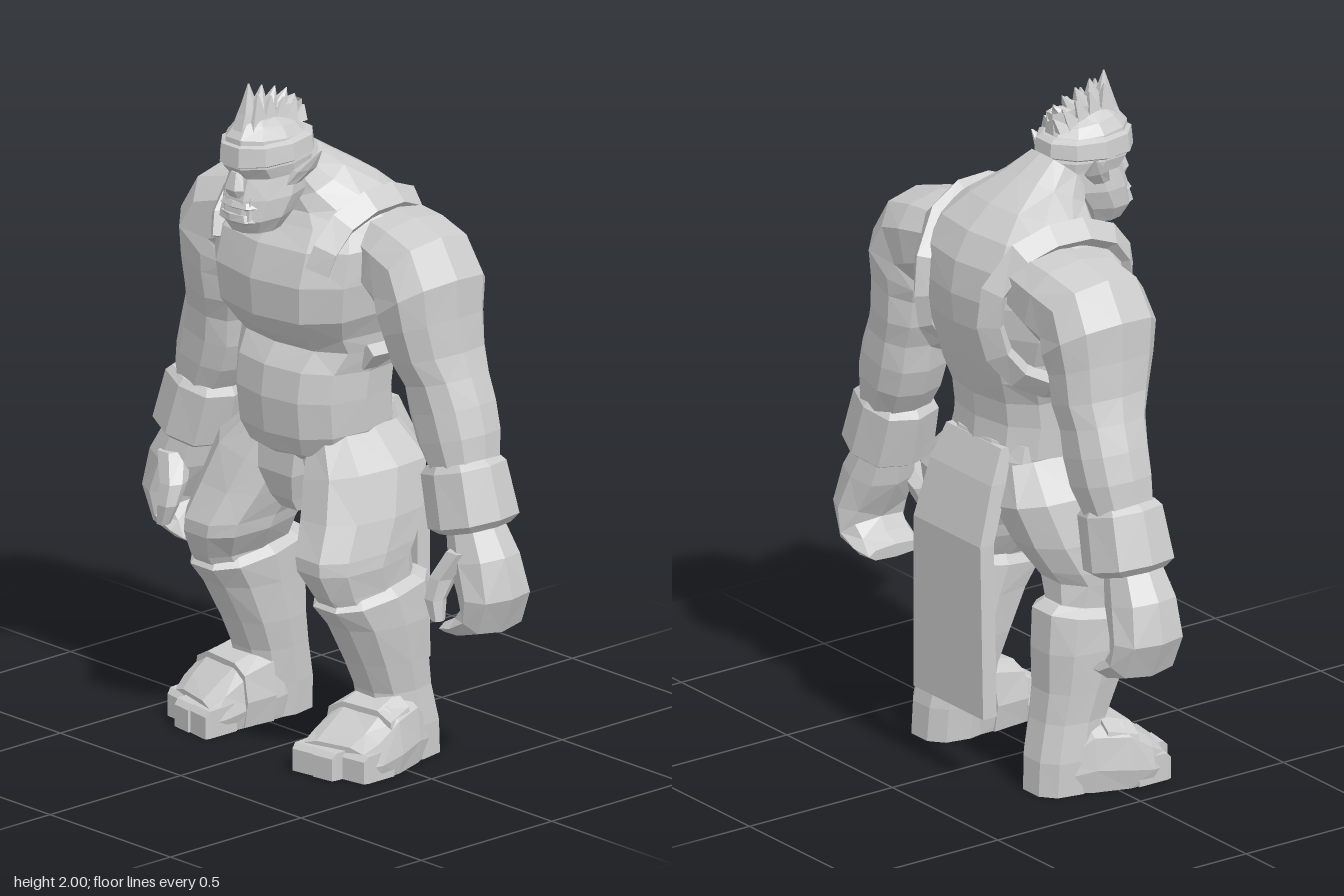
import * as THREE from 'three';

const V = (x, y, z) => new THREE.Vector3(x, y, z);
const stone = new THREE.MeshStandardMaterial({ color: 0xcccccc, flatShading: true });
stone.name = 'light grey';

// Skin a list of equal rings, cap both ends and keep faces outward
function skin(name, rings) {
  const n = rings[0].length, faces = [];
  const tri = (a, b, c) => faces.push([a, b, c]);
  for (let i = 0; i < rings.length - 1; i++) {
    for (let j = 0; j < n; j++) {
      const k = (j + 1) % n, a = rings[i], b = rings[i + 1];
      if ((i + j) % 2) { tri(a[j], b[j], b[k]); tri(a[j], b[k], a[k]); }
      else { tri(a[j], b[j], a[k]); tri(b[j], b[k], a[k]); }
    }
  }
  const first = rings[0], last = rings[rings.length - 1];
  for (let j = 1; j < n - 1; j++) {
    tri(first[0], first[j], first[j + 1]);
    tri(last[0], last[j + 1], last[j]);
  }
  let volume = 0;
  const o = first[0];
  faces.forEach(([a, b, c]) => {
    volume += a.clone().sub(o).dot(b.clone().sub(o).cross(c.clone().sub(o)));
  });
  const pts = faces.flatMap(([a, b, c]) => (volume < 0 ? [a, c, b] : [a, b, c]));
  const geo = new THREE.BufferGeometry().setFromPoints(pts);
  geo.computeVertexNormals();
  const mesh = new THREE.Mesh(geo, stone);
  mesh.name = name;
  return mesh;
}

// Section: [x, y, z, half width, half depth, roll, pitch, yaw]; n = 4 gives a box
function loft(name, sections, { n = 10, p = 0.8, side = 1 } = {}) {
  const box = n === 4, q = box ? 1 : p, k = box ? Math.SQRT2 : 1;
  const pow = (v) => (Math.abs(v) < 1e-6 ? 0 : Math.sign(v) * Math.abs(v) ** q);
  return skin(name, sections.map(([x, y, z, rx, rz, roll = 0, pitch = 0, yaw = 0]) => {
    const turn = new THREE.Euler(pitch, yaw, roll, 'ZYX'), ring = [];
    for (let j = 0; j < n; j++) {
      const t = (j / n) * Math.PI * 2 + (box ? Math.PI / 4 : 0);
      const v = V(rx * k * pow(Math.cos(t)), 0, rz * k * pow(Math.sin(t)));
      v.applyEuler(turn).add(V(x, y, z));
      ring.push(V(v.x * side, Math.max(0, v.y), v.z));
    }
    return ring;
  }));
}

// Body section: [half width, front z, front y, back z, back y]
const body = (rows) => rows.map(([w, zf, yf, zb, yb]) =>
  [0, (yf + yb) / 2, (zf + zb) / 2, w, Math.hypot(zf - zb, yf - yb) / 2, 0, Math.atan2(yb - yf, zf - zb)]);

// Flat band following points around the chest
function band(name, points, width, thick, side) {
  const curve = new THREE.CatmullRomCurve3(points.map(([x, y, z]) => V(x * side, y, z)));
  const rings = [];
  for (let i = 0; i <= 12; i++) {
    const c = curve.getPoint(i / 12), t = curve.getTangent(i / 12);
    const out = c.clone().sub(V(0, 1.4, -0.05));
    out.addScaledVector(t, -out.dot(t)).normalize();
    const w = t.clone().cross(out);
    rings.push([[1, 1], [-1, 1], [-1, -1], [1, -1]].map(([a, b]) =>
      c.clone().addScaledVector(w, a * width / 2).addScaledVector(out, b * thick / 2)));
  }
  return skin(name, rings);
}

function createArm(side) {
  const arm = new THREE.Group();
  arm.name = side > 0 ? 'leftArm' : 'rightArm';
  arm.add(loft('armMuscle', [
    [.20, 1.51, -.10, .11, .15, 1.45], [.30, 1.485, -.09, .13, .165, 1.3],
    [.375, 1.46, -.08, .145, .165, 1.0], [.41, 1.395, -.08, .135, .175, .6],
    [.42, 1.32, -.08, .112, .16, .35], [.43, 1.23, -.09, .108, .145, .25],
    [.455, 1.16, -.10, .105, .125, .25], [.475, 1.08, -.105, .115, .12, .25],
    [.50, 1.0, -.105, .112, .115, .25], [.53, .92, -.10, .09, .10, .25]], { side }));
  arm.add(loft('bracer', [
    [.525, .935, -.095, .095, .10, .26], [.53, .915, -.095, .115, .115, .26],
    [.572, .765, -.095, .118, .127, .26], [.578, .745, -.095, .09, .10, .26]], { side, n: 8 }));
  arm.add(loft('hand', [
    [.58, .77, -.09, .07, .08, .25], [.62, .67, -.09, .09, .10, .2],
    [.655, .57, -.095, .078, .112, 0], [.64, .50, -.10, .06, .11, -.7],
    [.58, .468, -.10, .034, .105, -1.35], [.53, .455, -.095, .02, .095, -1.5]], { side, n: 8 }));
  arm.add(loft('thumb', [
    [.60, .70, -.03, .04, .05], [.56, .62, .01, .036, .04],
    [.555, .56, .035, .03, .03], [.57, .50, .04, .018, .02]], { side, n: 6 }));
  return arm;
}

function createLeg(side) {
  const leg = new THREE.Group();
  leg.name = side > 0 ? 'leftLeg' : 'rightLeg';
  leg.add(loft('thigh', [
    [.12, .94, -.05, .09, .15, .3], [.175, .84, -.045, .14, .195, .22],
    [.207, .73, -.005, .138, .195, .06], [.23, .645, .04, .126, .195, 0, .06],
    [.235, .605, .055, .122, .18, 0, .06], [.255, .53, .035, .092, .165, 0, .06],
    [.257, .45, 0, .095, .15]], { side }));
  leg.add(loft('boot', [
    [.255, .535, .015, .092, .155, 0, .15], [.255, .51, .01, .118, .185, 0, .15],
    [.258, .42, -.02, .115, .16], [.255, .30, -.05, .108, .125],
    [.255, .21, -.075, .10, .11], [.262, .10, -.095, .10, .115],
    [.265, 0, -.10, .095, .115]], { side }));
  const lie = (yaw) => [0, Math.PI / 2, yaw];
  leg.add(loft('foot', [
    [.268, .05, -.16, .07, .06, ...lie(0)], [.275, .07, -.06, .11, .13, ...lie(.05)],
    [.292, .06, .05, .13, .13, ...lie(.12)], [.296, .045, .135, .128, .085, ...lie(.2)],
    [.292, .04, .185, .115, .055, ...lie(.25)]], { side, p: .6 }));
  leg.add(loft('instepBand', [
    [.275, .08, -.02, .118, .135, ...lie(.05)], [.288, .08, .08, .13, .105, ...lie(.12)]], { side, p: .6 }));
  [[.218, .042, .238], [.293, .038, .232], [.37, .043, .185]].forEach(([x, r, z]) => leg.add(loft('toe', [
    [x, .035, z - .12, r, .05, ...lie(.1)], [x, .035, z - .02, r, .045, ...lie(.15)],
    [x, .03, z - .005, r * .9, .035, ...lie(.15)]], { side, n: 4 })));
  return leg;
}

function createHead() {
  const head = new THREE.Group();
  head.name = 'head';
  head.add(loft('skull', body([
    [.07, .285, 1.57, .14, 1.575], [.10, .31, 1.61, .10, 1.63], [.11, .30, 1.67, .05, 1.69],
    [.102, .28, 1.73, .03, 1.75], [.107, .312, 1.765, .02, 1.78], [.092, .305, 1.85, .045, 1.84],
    [.068, .275, 1.885, .07, 1.865], [.03, .24, 1.915, .11, 1.885]]), { p: .95 }));
  head.add(loft('headband', body([
    [.10, .30, 1.765, .03, 1.785], [.117, .322, 1.775, .018, 1.795],
    [.11, .317, 1.83, .022, 1.835], [.09, .295, 1.84, .04, 1.845]]), { p: .95 }));
  // Face
  head.add(loft('nose', [[0, 1.75, .28, .018, .02], [0, 1.70, .292, .035, .024], [0, 1.675, .28, .03, .02]], { n: 6 }));
  head.add(loft('upperLip', [[0, 1.665, .265, .06, .035], [0, 1.65, .27, .07, .038], [0, 1.64, .265, .06, .03]], { n: 8 }));
  head.add(loft('lowerLip', [[0, 1.63, .27, .06, .042], [0, 1.61, .275, .07, .038], [0, 1.595, .265, .05, .03]], { n: 8 }));
  for (const side of [-1, 1]) {
    head.add(loft('tusk', [[.05, 1.615, .285, .011, .011], [.053, 1.68, .28, .001, .001]], { side, n: 4 }));
    head.add(loft('ear', [[.09, 1.71, .16, .02, .03], [.115, 1.75, .13, .018, .04],
      [.15, 1.805, .10, .002, .003]], { side, n: 6 }));
  }
  // Crest: rows of leaning spikes
  const spikes = [[.25, .24, 2.0], [.215, .19, 1.985], [.18, .14, 1.97], [.145, .095, 1.955], [.11, .065, 1.93], [.09, .045, 1.89]];
  spikes.forEach(([z, tipZ, tipY], i) => {
    head.add(loft('crestSpike', [[0, 1.85, z, .035, .045], [0, 1.915, z - .012, .026, .032], [0, tipY, tipZ, .002, .002]], { n: 6 }));
    if (i < 5) for (const side of [-1, 1]) {
      head.add(loft('sideSpike', [[.02, 1.86, z - .02, .025, .035], [.022, tipY - .03, tipZ - .015, .002, .002]], { side, n: 4 }));
    }
  });
  return head;
}

export function createModel() {
  const model = new THREE.Group();
  model.name = 'bruteFigure';

  model.add(loft('torso', body([
    [.11, .11, .862, -.18, .84], [.185, .155, .895, -.225, .88], [.215, .18, .95, -.22, .97],
    [.22, .192, 1.06, -.21, 1.06], [.222, .18, 1.15, -.218, 1.13], [.245, .14, 1.21, -.24, 1.20],
    [.25, .18, 1.25, -.262, 1.27], [.285, .225, 1.31, -.285, 1.36], [.30, .235, 1.42, -.295, 1.45],
    [.30, .205, 1.52, -.28, 1.545], [.265, .155, 1.575, -.235, 1.625], [.20, .13, 1.61, -.16, 1.69],
    [.13, .13, 1.65, -.06, 1.75], [.09, .14, 1.70, .02, 1.80]]), { n: 12 }));
  model.add(loft('pelvis', body([
    [.06, .05, .72, -.09, .71], [.13, .09, .79, -.17, .78],
    [.18, .11, .87, -.235, .86], [.205, .12, .93, -.235, .96], [.20, .10, .98, -.215, 1.01]])));

  // Cloths at the waist
  model.add(loft('frontCloth', [
    [0, .89, .105, .075, .03], [0, .82, .10, .07, .04], [0, .74, .075, .045, .04], [0, .70, .05, .035, .035]], { n: 4 }));
  model.add(loft('backCloth', [
    [0, 1.0, -.185, .13, .03], [0, .90, -.232, .145, .028], [0, .73, -.285, .158, .024], [0, .21, -.28, .165, .024]], { n: 4 }));

  for (const side of [1, -1]) {
    model.add(createArm(side), createLeg(side));
    // Harness looping over the shoulder and under the arm
    model.add(band('harnessStrap', [
      [.205, 1.475, .165], [.222, 1.55, .14], [.232, 1.625, .06], [.232, 1.645, -.07],
      [.21, 1.62, -.18], [.17, 1.50, -.268], [.165, 1.38, -.275], [.185, 1.28, -.24],
      [.22, 1.215, -.16], [.238, 1.19, -.05], [.235, 1.19, .01]], .07, .04, side));
  }
  model.add(createHead());
  return model;
}
